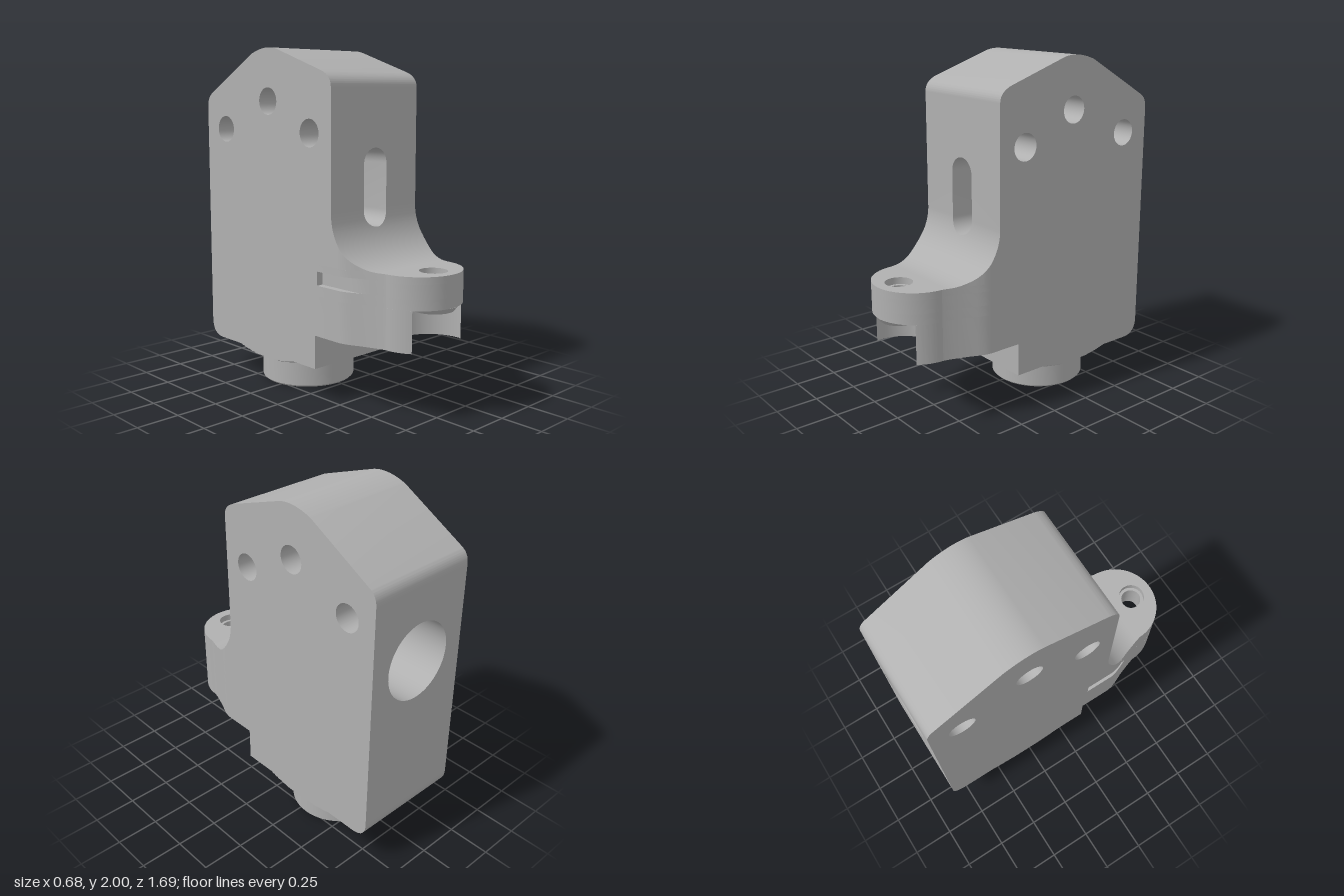
import * as THREE from 'three';
import { toCreasedNormals } from 'three/addons/utils/BufferGeometryUtils.js';

const HALF = 0.34, FRONT = 0.275, BACK = -0.845, BORE_Y = 1.222, BORE_END = 0.07;
const LUG_TOP = 0.81, FILLET = 0.29, PIN_Z = 0.71;
const range = (n, f) => Array.from({ length: n + 1 }, (_, i) => f(i / n));
const circle = (x, y, r) => new THREE.Path().absarc(x, y, r, 0, Math.PI * 2, true);

// Plan outline of the front lug: half-width against z, up to its round nose
const NECK = [[0.34, 0.14], [0.34, 0.34], [0.333, 0.375], [0.318, 0.415], [0.295, 0.465], [0.275, 0.52], [0.259, 0.565], [0.25, 0.6]];
function halfWidth(z) {
  for (let i = 1; i < NECK.length; i++) {
    const [x0, z0] = NECK[i - 1], [x1, z1] = NECK[i];
    if (z <= z1) return x0 + (x1 - x0) * (z - z0) / (z1 - z0);
  }
  return 0.25;
}

// Front face depth at a height: flat above, concave fillet below
function frontZ(y) {
  const d = Math.max(0, LUG_TOP + FILLET - y);
  return FRONT + FILLET - Math.sqrt(Math.max(0, FILLET * FILLET - d * d));
}

// Half-width of the vertical slot at a height
function slotHalf(y) {
  const d = Math.max(0, Math.abs(y - BORE_Y) - 0.1325);
  return Math.sqrt(Math.max(0, 0.0081 - d * d));
}

// Surface through rows of points
function surface(rows) {
  const n = rows[0].length, index = [];
  for (let i = 0; i < rows.length - 1; i++)
    for (let j = 0; j < n - 1; j++) {
      const a = i * n + j, b = a + n;
      index.push(a, b, a + 1, a + 1, b, b + 1);
    }
  const g = new THREE.BufferGeometry();
  g.setAttribute('position', new THREE.Float32BufferAttribute(rows.flat(2), 3));
  g.setIndex(index);
  g.computeVertexNormals();
  return g;
}

// Side profile extruded across x, with its flat front and back walls left open
function bodyGeometry() {
  const s = new THREE.Shape();   // drawn in (-z, y)
  s.moveTo(-0.14, 0.205);
  s.lineTo(0.74, 0.205);
  s.quadraticCurveTo(-BACK, 0.205, -BACK, 0.31);
  s.lineTo(-BACK, 1.66);
  s.quadraticCurveTo(-BACK, 1.72, 0.8, 1.745);
  s.lineTo(0.4, 1.97);
  s.quadraticCurveTo(0.27, 2.02, 0.17, 1.99);
  s.lineTo(-0.2, 1.865);
  s.quadraticCurveTo(-FRONT, 1.835, -FRONT, 1.78);
  s.lineTo(-FRONT, LUG_TOP);
  s.lineTo(-0.14, LUG_TOP);
  for (const [z, y] of [[0.1, 1.53], [-0.255, 1.7], [-0.66, 1.53]]) s.holes.push(circle(-z, y, 0.078));
  const g = new THREE.ExtrudeGeometry(s, { depth: 2 * HALF, bevelEnabled: false, curveSegments: 20 });
  g.rotateY(Math.PI / 2).translate(-HALF, 0, 0);
  const p = g.attributes.position, kept = [];
  for (let i = 0; i < p.count; i += 3) {
    const open = [FRONT, BACK].some(z => [0, 1, 2].every(k => Math.abs(p.getZ(i + k) - z) < 1e-4));
    if (!open) for (let k = 0; k < 3; k++) kept.push(p.getX(i + k), p.getY(i + k), p.getZ(i + k));
  }
  const out = new THREE.BufferGeometry();
  out.setAttribute('position', new THREE.Float32BufferAttribute(kept, 3));
  return out;
}

// One horizontal slice of the lug
function lugLayer(y0, y1, { hole = 0, bite = false, notch = false }) {
  const end = bite ? 0.629 : Math.PI / 2;
  const half = [...NECK, ...range(20, t => [0.25 * Math.cos(t * end), 0.595 + 0.25 * Math.sin(t * end)])];
  if (bite) half.push(...range(20, t => {
    const a = 0.15 - t * (0.15 + Math.PI / 2);
    return [0.213 * Math.cos(a), PIN_Z + 0.213 * Math.sin(a)];
  }).slice(1));
  let left = half.slice(0, -1).reverse().map(([x, z]) => [-x, z]);
  if (notch) left = [...left.slice(0, -1).map(([x, z]) => [Math.max(x, -0.3), z]), [-0.3, 0.16], [-HALF, 0.16], [-HALF, 0.14]];
  const s = new THREE.Shape([...half, ...left].map(([x, z]) => new THREE.Vector2(x, -z)));
  if (hole) s.holes.push(circle(0, -PIN_Z, hole));
  return new THREE.ExtrudeGeometry(s, { depth: y1 - y0, bevelEnabled: false, curveSegments: 20 })
    .rotateX(-Math.PI / 2).translate(0, y0, 0);
}

const lathe = (pts, z) => new THREE.LatheGeometry(pts.map(p => new THREE.Vector2(...p)), 64).translate(0, 0, z);

export function createModel() {
  const model = new THREE.Group();
  model.name = 'bracketBlock';
  const metal = new THREE.MeshStandardMaterial({ color: 0xb0b0b0, side: THREE.DoubleSide });
  metal.name = 'greyMetal';
  const add = (name, geometry) => {
    const mesh = new THREE.Mesh(toCreasedNormals(geometry, 0.5), metal);
    mesh.name = name;
    model.add(mesh);
  };

  // Main block with three cross holes
  add('body', bodyGeometry());

  // Back wall and the round bore behind it
  const wall = new THREE.Shape([[-HALF, 0.31], [HALF, 0.31], [HALF, 1.66], [-HALF, 1.66]].map(p => new THREE.Vector2(...p)));
  wall.holes.push(circle(0, BORE_Y, 0.225));
  add('backWall', new THREE.ShapeGeometry(wall, 32).rotateY(Math.PI).translate(0, 0, BACK));
  add('bore', new THREE.CylinderGeometry(0.225, 0.225, BORE_END - BACK, 64, 1, true)
    .rotateX(Math.PI / 2).translate(0, BORE_Y, (BORE_END + BACK) / 2));

  // Heights used by the slot and by the fillet
  const slotYs = [
    ...range(12, t => BORE_Y - 0.1325 - 0.09 * Math.cos(t * Math.PI / 2)),
    ...range(12, t => BORE_Y + 0.1325 + 0.09 * Math.sin(t * Math.PI / 2)),
  ];
  const filletYs = range(28, t => LUG_TOP + FILLET * (1 - Math.sin((1 - t) * Math.PI / 2)));
  const ys = [...new Set([...slotYs, ...filletYs, 1.78].map(y => +y.toFixed(4)))].sort((a, b) => a - b);

  // Bore floor pierced by the slot
  const floor = new THREE.Shape().absarc(0, BORE_Y, 0.225, 0, Math.PI * 2);
  floor.holes.push(new THREE.Path([
    ...slotYs.map(y => new THREE.Vector2(-slotHalf(y), y)),
    ...slotYs.slice(1, -1).reverse().map(y => new THREE.Vector2(slotHalf(y), y)),
  ]));
  add('boreFloor', new THREE.ShapeGeometry(floor, 32).rotateY(0).translate(0, 0, BORE_END));

  // Front face, slot walls and fillet cheeks, mirrored about x = 0
  for (const s of [-1, 1]) {
    const side = s < 0 ? 'right' : 'left';
    add(side + 'FrontFace', surface(ys.map(y => {
      const z = frontZ(y);
      return [[s * slotHalf(y), y, z], [s * halfWidth(z), y, z]];
    })));
    add(side + 'SlotWall', surface(slotYs.map(y => [[s * slotHalf(y), y, frontZ(y)], [s * slotHalf(y), y, BORE_END]])));
    add(side + 'FilletCheek', surface(filletYs.map(y => {
      const z = frontZ(y), x = s * halfWidth(z);
      return [[x, y, z], [x, LUG_TOP, z]];
    })));
  }

  // Front lug in slices: hollowed skirt, pin plate with side notch, wider hole on top
  add('lugSkirt', lugLayer(0.4, 0.63, { bite: true }));
  add('lugPlateLower', lugLayer(0.63, 0.69, { hole: 0.06 }));
  add('lugPlateNotched', lugLayer(0.69, 0.77, { hole: 0.06, notch: true }));
  add('lugPlateUpper', lugLayer(0.77, LUG_TOP, { hole: 0.078 }));
  add('lugBoss', lathe([[0.06, 0.63], [0.06, 0.6], [0.115, 0.6], [0.137, 0.63]], PIN_Z));

  // Conical seat under the block, trimmed flush with its sides
  const seat = new THREE.CylinderGeometry(0.43, 0.355, 0.03, 128, 5).translate(0, 0.19, 0);
  const p = seat.attributes.position;
  for (let i = 0; i < p.count; i++) p.setX(i, THREE.MathUtils.clamp(p.getX(i), -HALF, HALF));
  add('seat', seat.translate(0, 0, -0.302));

  // Round foot with a central hole
  add('foot', lathe([[0.09, 0.18], [0.09, 0], [0.273, 0], [0.283, 0.01], [0.283, 0.18]], -0.302));
  return model;
}
